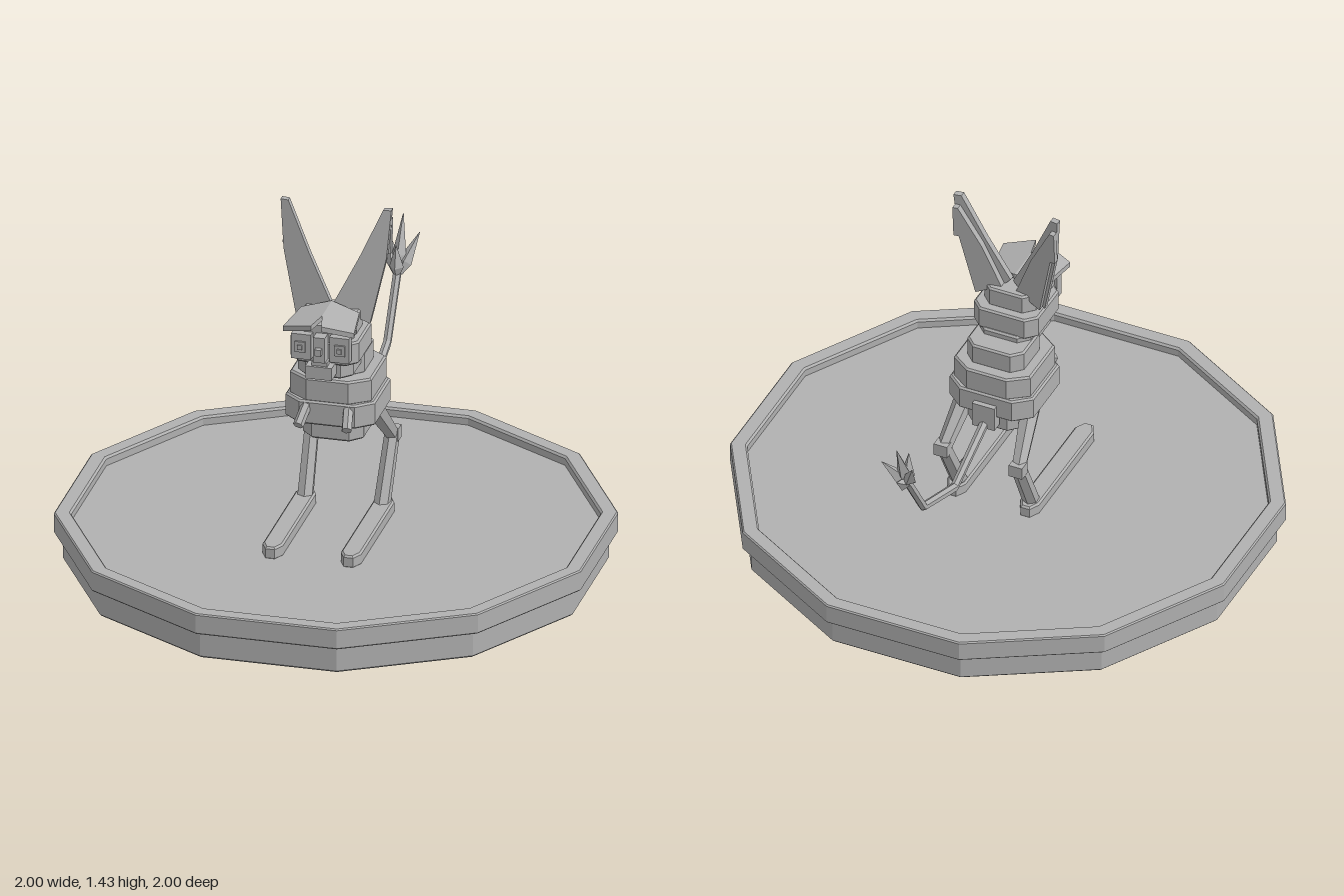
import * as THREE from 'three';

const grey = new THREE.MeshStandardMaterial({ color: 0xb0b0b0, flatShading: true });
grey.name = 'grey';

const V = (x, y, z) => new THREE.Vector3(x, y, z);

function add(parent, name, geometry) {
  const mesh = new THREE.Mesh(geometry, grey);
  mesh.name = name;
  parent.add(mesh);
  return mesh;
}

// Box given by its limits
function box(parent, name, x0, x1, y0, y1, z0, z1) {
  const mesh = add(parent, name, new THREE.BoxGeometry(x1 - x0, y1 - y0, z1 - z0));
  mesh.position.set((x0 + x1) / 2, (y0 + y1) / 2, (z0 + z1) / 2);
  return mesh;
}

// Horizontal slab with cut corners and a small bevelled rim
function slab(parent, name, x0, x1, y0, y1, z0, z1, cx, cz) {
  const b = 0.007;
  const l = x0 + b, r = x1 - b, f = -z1 + b, k = -z0 - b;
  const shape = new THREE.Shape([
    [l + cx, f], [r - cx, f], [r, f + cz], [r, k - cz],
    [r - cx, k], [l + cx, k], [l, k - cz], [l, f + cz],
  ].map(([x, y]) => new THREE.Vector2(x, y)));
  const geo = new THREE.ExtrudeGeometry(shape, {
    depth: y1 - y0 - 2 * b, bevelThickness: b, bevelSize: b, bevelSegments: 1,
  });
  geo.rotateX(-Math.PI / 2).translate(0, y0 + b, 0);
  return add(parent, name, geo);
}

// Tapered bar between two points
function bar(parent, name, a, b, ra, rb, sides = 6) {
  const dir = b.clone().sub(a);
  const geo = new THREE.CylinderGeometry(rb, ra, dir.length(), sides);
  const mesh = add(parent, name, geo);
  mesh.position.copy(a).add(b).multiplyScalar(0.5);
  mesh.quaternion.setFromUnitVectors(V(0, 1, 0), dir.normalize());
  return mesh;
}

// Flat ear layer, swept back towards the tip and the outer edge
function earLayer(parent, name, points, depth, zOffset) {
  const shape = new THREE.Shape(points.map(([x, y]) => new THREE.Vector2(x, y)));
  const geo = new THREE.ExtrudeGeometry(shape, { depth, bevelEnabled: false });
  const p = geo.attributes.position;
  for (let i = 0; i < p.count; i++) {
    p.setZ(i, p.getZ(i) + zOffset + 0.05 - 0.15 * p.getX(i) - 0.07 * (p.getY(i) - 1));
  }
  geo.computeVertexNormals();
  return add(parent, name, geo);
}

function createSide(sign) {
  const side = new THREE.Group();
  side.name = sign > 0 ? 'leftSide' : 'rightSide';
  side.scale.x = sign;

  // Long two-layer ear
  earLayer(side, 'earFront', [[0.005, 1.06], [0.03, 1.035], [0.14, 0.985], [0.165, 1.1],
    [0.195, 1.24], [0.21, 1.43], [0.18, 1.43], [0.095, 1.24]], 0.024, -0.012);
  earLayer(side, 'earBack', [[0.03, 1.04], [0.13, 0.99], [0.185, 1.25], [0.205, 1.25],
    [0.205, 1.385], [0.185, 1.385], [0.1, 1.22]], 0.024, -0.036);

  // Fringe flap sloping outwards from the middle
  const flap = new THREE.Shape([[0, -0.06], [0.11, -0.08], [0.135, -0.25], [0.02, -0.285], [0, -0.2]]
    .map(([x, y]) => new THREE.Vector2(x, y)).reverse());
  const geo = new THREE.ExtrudeGeometry(flap, { depth: 0.02, bevelEnabled: false });
  geo.rotateX(-Math.PI / 2);
  const p = geo.attributes.position;
  for (let i = 0; i < p.count; i++) {
    p.setY(i, p.getY(i) + 1.05 - 0.25 * p.getX(i));
  }
  geo.computeVertexNormals();
  add(side, 'fringe', geo);

  // Eye
  box(side, 'eyeSocket', 0.035, 0.11, 0.9, 1.0, 0.19, 0.228);
  box(side, 'eye', 0.055, 0.095, 0.93, 0.972, 0.22, 0.236);
  box(side, 'pupil', 0.066, 0.084, 0.942, 0.96, 0.23, 0.242);

  // Small arm
  bar(side, 'arm', V(0.075, 0.685, 0.1), V(0.092, 0.615, 0.195), 0.02, 0.02);

  // Backward-bent leg
  bar(side, 'thigh', V(0.125, 0.6, -0.065), V(0.152, 0.42, -0.235), 0.04, 0.028);
  bar(side, 'shin', V(0.152, 0.43, -0.235), V(0.145, 0.17, -0.1), 0.029, 0.032);
  box(side, 'knee', 0.125, 0.179, 0.4, 0.45, -0.262, -0.215);
  slab(side, 'foot', 0.11, 0.187, 0.15, 0.2, -0.17, 0.385, 0.018, 0.035);
  return side;
}

export function createModel() {
  const model = new THREE.Group();
  model.name = 'creatureOnStand';

  // Twelve-sided stand with a raised rim
  const c = Math.cos(Math.PI / 12);
  const profile = [[0, 0], [0.96, 0], [0.967, 0.007], [0.967, 0.108], [0.995, 0.108], [1, 0.113],
    [1, 0.185], [0.995, 0.19], [0.945, 0.19], [0.938, 0.182], [0.938, 0.155], [0, 0.155]]
    .map(([r, y]) => new THREE.Vector2(r / c, y));
  add(model, 'stand', new THREE.LatheGeometry(profile, 12)).rotation.y = Math.PI / 12;

  // Stacked body
  const body = new THREE.Group();
  body.name = 'body';
  model.add(body);
  slab(body, 'hips', -0.115, 0.115, 0.515, 0.605, -0.16, 0.08, 0.04, 0.04);
  slab(body, 'belly', -0.17, 0.17, 0.595, 0.69, -0.195, 0.135, 0.06, 0.05);
  slab(body, 'chest', -0.155, 0.155, 0.685, 0.78, -0.19, 0.13, 0.07, 0.05);
  slab(body, 'neck', -0.115, 0.115, 0.775, 0.86, -0.145, 0.065, 0.035, 0.035);

  // Stacked head
  const head = new THREE.Group();
  head.name = 'head';
  model.add(head);
  slab(head, 'jaw', -0.105, 0.105, 0.815, 0.885, -0.065, 0.185, 0.035, 0.035);
  slab(head, 'face', -0.13, 0.13, 0.875, 0.965, -0.055, 0.2, 0.035, 0.035);
  slab(head, 'crown', -0.105, 0.105, 0.96, 1.04, -0.02, 0.145, 0.035, 0.035);
  box(head, 'brow', -0.1, 0.1, 0.965, 1.03, 0.1, 0.2);
  box(head, 'nose', -0.022, 0.022, 0.9, 1.0, 0.19, 0.245);
  box(head, 'noseTip', -0.012, 0.012, 0.935, 0.96, 0.24, 0.265);
  box(head, 'muzzle', -0.05, 0.05, 0.835, 0.885, 0.15, 0.25);
  box(head, 'lip', -0.03, 0.03, 0.875, 0.9, 0.19, 0.24);

  // Bent tail
  const tail = new THREE.Group();
  tail.name = 'tail';
  model.add(tail);
  box(tail, 'tailBase', -0.045, 0.045, 0.55, 0.65, -0.215, -0.17);
  const path = [V(0, 0.575, -0.18), V(0, 0.45, -0.465), V(0, 0.55, -0.735), V(0, 0.78, -0.885)];
  for (let i = 0; i < 3; i++) bar(tail, 'tailSegment', path[i], path[i + 1], 0.018 - i * 0.001, 0.016);

  // Tuft of spikes at the tail end
  const tuft = V(0, 0.75, -0.87);
  for (const [x, y, z] of [[0, 0.97, -0.965], [0.062, 0.9, -0.965], [-0.062, 0.9, -0.965],
    [0, 0.82, -0.965], [0, 0.885, -0.86]]) {
    const tip = V(x, y, z);
    const start = tuft.clone().lerp(tip, 0.1);
    const middle = tuft.clone().lerp(tip, 0.35);
    bar(tail, 'tuftRoot', start, middle, 0.012, 0.027, 4);
    bar(tail, 'tuftSpike', middle, tip, 0.027, 0.001, 4);
  }

  model.add(createSide(1), createSide(-1));
  return model;
}
